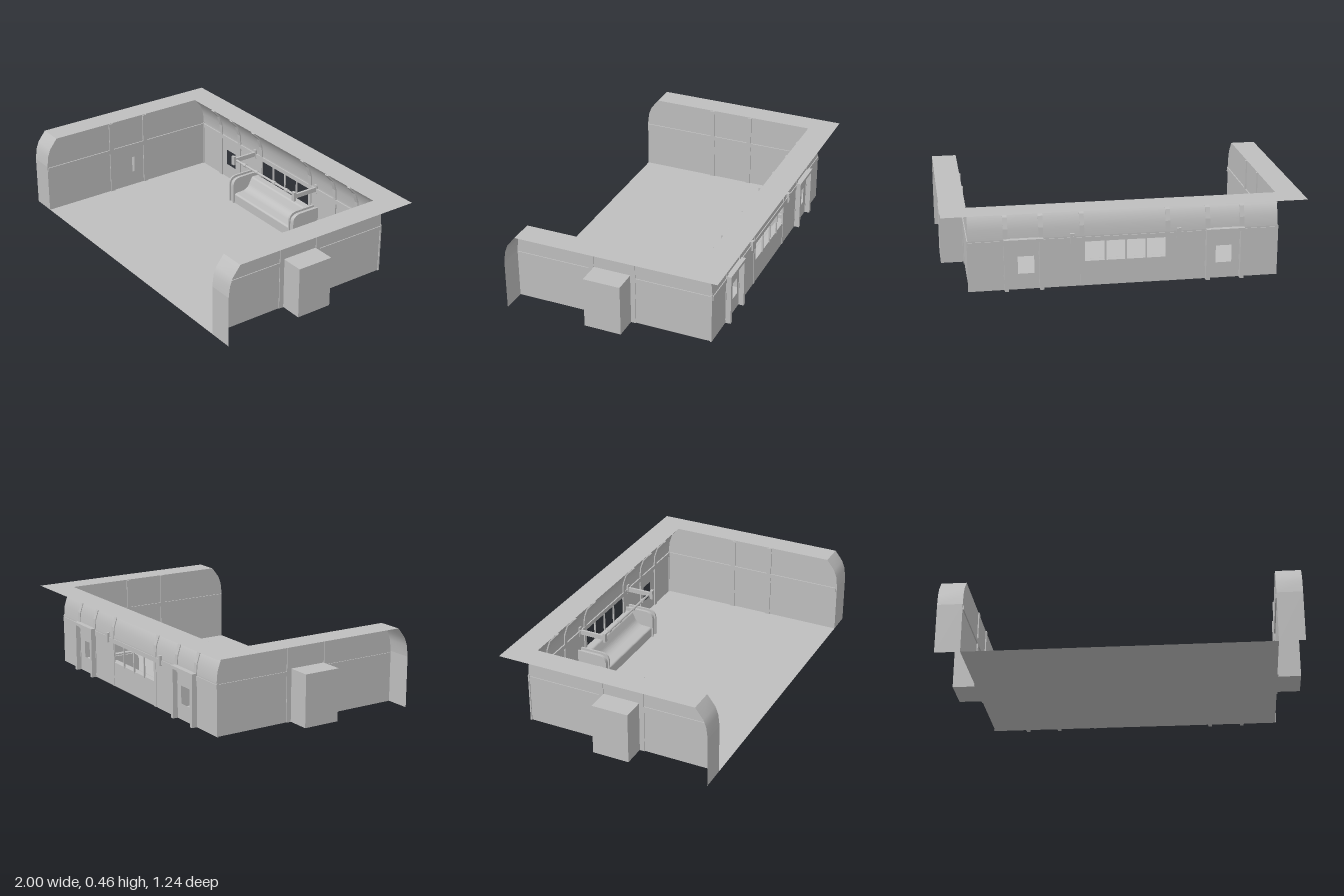
import * as THREE from 'three';

const grey = new THREE.MeshStandardMaterial({ color: 0xbebebe, side: THREE.DoubleSide });
grey.name = 'plain grey';

const W = 0.857, BACK = -0.535, TOP = 0.46;
const backCurve = [[BACK, 0.29], [-0.53, 0.35], [-0.51, 0.41], [-0.465, TOP]];
const frontCurve = [[0.617, 0], [0.617, 0.29], [0.609, 0.355], [0.592, 0.4], [0.545, TOP]];

export function createModel() {
  const group = new THREE.Group();

  const add = (name, geometry) => {
    const mesh = new THREE.Mesh(geometry, grey);
    mesh.name = name;
    group.add(mesh);
    return mesh;
  };
  const box = (name, x0, x1, y0, y1, z0, z1) => add(name,
    new THREE.BoxGeometry(x1 - x0, y1 - y0, z1 - z0)
      .translate((x0 + x1) / 2, (y0 + y1) / 2, (z0 + z1) / 2));
  const outline = (pts) => new THREE.Shape(pts.map(([a, b]) => new THREE.Vector2(a, b)));
  const hole = (shape, x0, x1, y0, y1) =>
    shape.holes.push(outline([[x0, y0], [x0, y1], [x1, y1], [x1, y0]]));

  // Smooth sheet: a (z, y) profile swept along x
  const sheet = (name, profile, x0, x1) => {
    const pos = [], idx = [];
    profile.forEach(([z, y], i) => {
      pos.push(x0, y, z, x1, y, z);
      const a = i * 2;
      if (i) idx.push(a - 2, a - 1, a + 1, a - 2, a + 1, a);
    });
    const g = new THREE.BufferGeometry();
    g.setAttribute('position', new THREE.Float32BufferAttribute(pos, 3));
    g.setIndex(idx);
    g.computeVertexNormals();
    return add(name, g);
  };
  // Solid: a (z, y) outline extruded along x, centred on x
  const slab = (name, shape, x, width) => add(name,
    new THREE.ExtrudeGeometry(shape, { depth: width, bevelEnabled: false, curveSegments: 8 })
      .translate(0, 0, -width / 2).rotateY(-Math.PI / 2).translate(x, 0, 0));

  // Floor
  add('floor', new THREE.PlaneGeometry(2 * W, 0.617 - BACK)
    .rotateX(-Math.PI / 2).translate(0, 0, (0.617 + BACK) / 2));

  // U-shaped top ledge
  const ledge = outline([[-1, 0.62], [1, 0.62], [1, -0.545], [W, -0.545],
    [W, 0.465], [-W, 0.465], [-W, -0.545], [-1, -0.545]]);
  add('topLedge', new THREE.ShapeGeometry(ledge).rotateX(-Math.PI / 2).translate(0, TOP, 0));

  // Back wall with window openings
  const wall = outline([[-W, 0], [W, 0], [W, 0.29], [-W, 0.29]]);
  hole(wall, -0.6, -0.51, 0.09, 0.19);
  hole(wall, 0.5, 0.59, 0.09, 0.19);
  hole(wall, -0.232, 0.222, 0.135, 0.265);
  add('backWall', new THREE.ShapeGeometry(wall).translate(0, 0, BACK));
  sheet('curvedBackWall', backCurve, -W, W);
  for (const x of [-0.118, -0.005, 0.108])
    box('windowMullion', x - 0.004, x + 0.004, 0.135, 0.265, BACK - 0.004, BACK + 0.004);
  box('backRail', -W, W, 0.257, 0.283, BACK - 0.005, BACK + 0.008);

  // Curved ribs on the back wall
  const band = outline([
    ...backCurve.map(([z, y]) => [z - 0.005, y]),
    ...backCurve.map(([z, y]) => [z + 0.007, y - 0.003]).reverse()]);

  for (const s of [-1, 1]) {
    for (const x of [0.238, 0.462, 0.655]) slab('curvedRib', band, s * x, 0.026);
    for (const x of [0.462, 0.655]) {
      const c = s * x;
      box('wallRib', c - 0.013, c + 0.013, 0, 0.29, BACK - 0.003, BACK + 0.008);
      // Outside door frame
      box('doorFramePost', c - 0.011, c + 0.011, 0, 0.295, -0.565, BACK);
    }
    const d = s * 0.5585;
    box('doorFrameHeader', d - 0.108, d + 0.108, 0.278, 0.295, -0.565, BACK);
    box('windowRib', s * 0.238 - 0.011, s * 0.238 + 0.011, 0, 0.29, BACK - 0.003, BACK + 0.007);
    box('cornerStrip', s * W - 0.006, s * W + 0.006, 0, 0.29, BACK, BACK + 0.008);

    // End wall with a window in the door
    const end = outline([...frontCurve, ...[...backCurve].reverse(), [BACK, 0]]);
    hole(end, 0, 0.085, 0.09, 0.19);
    add('endWall', new THREE.ShapeGeometry(end).rotateY(-Math.PI / 2).translate(s * W, 0, 0));
    const inner = s * (W - 0.007), outer = s * (W + 0.005);
    const lo = Math.min(inner, outer), hi = Math.max(inner, outer);
    box('endRail', lo, hi, 0.257, 0.283, BACK, 0.612);
    for (const z of [0.165, -0.08]) box('endRib', lo, hi, 0, 0.457, z - 0.014, z + 0.014);

    // Vestibule outside the end door, open towards the wall
    const a = s * W, b = s * 0.99, x0 = Math.min(a, b), x1 = Math.max(a, b);
    const shell = new THREE.BoxGeometry(x1 - x0, 0.295, 0.215);
    const open = s > 0 ? 6 : 0;
    const index = Array.from(shell.index.array);
    index.splice(open, 6);
    shell.setIndex(index);
    shell.translate((x0 + x1) / 2, 0.1475, 0.0425);
    add('vestibule', shell);

    // Front flange
    const f0 = s > 0 ? W : -1;
    sheet('frontFlange', frontCurve.slice(0, 2), f0, f0 + 1 - W);
    sheet('frontFlangeCurve', frontCurve.slice(1), f0, f0 + 1 - W);
  }

  // Sofa: seat and sloped back
  const seat = outline([[BACK, 0], [-0.36, 0], [-0.36, 0.055]]);
  seat.quadraticCurveTo(-0.362, 0.064, -0.375, 0.064);
  seat.lineTo(-0.42, 0.066);
  seat.quadraticCurveTo(-0.455, 0.07, -0.47, 0.1);
  seat.lineTo(-0.486, 0.133);
  seat.quadraticCurveTo(-0.49, 0.142, -0.5, 0.142);
  seat.lineTo(BACK, 0.142);
  slab('sofaSeat', seat, -0.006, 0.55);

  // Sofa arms: a cushion between two boards
  const armShape = (front, top) => {
    const p = outline([[BACK, 0], [front, 0], [front, top - 0.05]]);
    p.quadraticCurveTo(front, top, front - 0.055, top);
    p.lineTo(BACK, top);
    return p;
  };
  for (const s of [-1, 1]) {
    const c = -0.006 + s * 0.295;
    slab('sofaArmCushion', armShape(-0.358, 0.152), c, 0.046);
    for (const o of [-0.019, 0.019]) slab('sofaArmBoard', armShape(-0.35, 0.165), c + o, 0.011);

    // Rack arm with flared ends, fixed through the wall
    const r = -0.004 + s * 0.295;
    box('rackArm', r - 0.007, r + 0.007, 0.265, 0.292, -0.55, -0.36);
    box('rackArmEnd', r - 0.012, r + 0.012, 0.252, 0.308, -0.374, -0.358);
    box('rackArmMount', r - 0.012, r + 0.012, 0.252, 0.308, -0.549, -0.525);
  }

  // Rack rod with collars
  const rod = (name, x, r, len) => add(name,
    new THREE.CylinderGeometry(r, r, len, 12).rotateZ(Math.PI / 2).translate(x, 0.276, -0.386));
  rod('rackRod', -0.004, 0.007, 0.6);
  for (const x of [-0.21, -0.09, 0.08, 0.2]) rod('rackCollar', x, 0.011, 0.022);

  return group;
}
